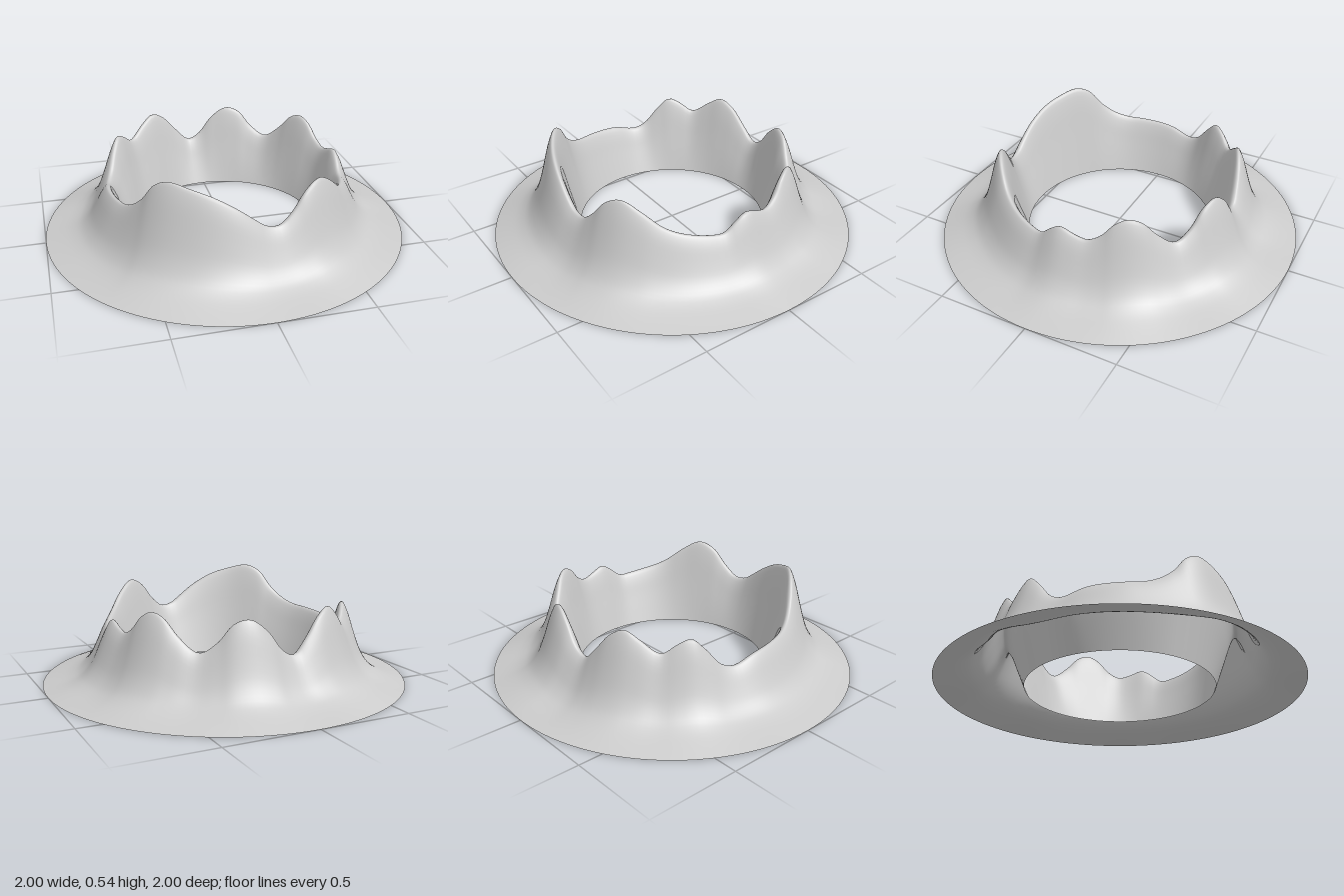
import * as THREE from 'three';

const CREST_RADIUS = 0.645;
const SEGMENTS = 180;

// Crest line: [angle in degrees from the front towards +x, height]
const CREST = [
  [0, 0.345], [5, 0.307], [11, 0.3], [18, 0.36], [25, 0.45], [33, 0.487], [43, 0.43], [51, 0.365], [58, 0.33],
  [72, 0.296], [79, 0.293], [85, 0.345], [90, 0.378], [97, 0.352], [103, 0.336], [109, 0.37], [115, 0.44],
  [121, 0.47], [127, 0.445], [134, 0.36], [143, 0.288], [151, 0.34], [158, 0.43], [165, 0.452], [173, 0.39],
  [180, 0.29], [186, 0.258], [193, 0.33], [201, 0.43], [208, 0.468], [215, 0.425], [224, 0.362], [231, 0.41],
  [237, 0.437], [243, 0.38], [251, 0.28], [257, 0.258], [268, 0.29], [283, 0.305], [293, 0.315], [300, 0.345],
  [307, 0.405], [314, 0.5], [321, 0.535], [332, 0.512], [342, 0.475], [352, 0.412],
];

// Cross-section from outer edge over the crest to inner edge: [radius, share of crest height]
const SECTION = [
  [1, 0], [0.91, 0.07], [0.85, 0.13], [0.8, 0.215], [0.755, 0.37], [0.72, 0.58], [0.685, 0.83],
  [0.66, 0.965], [0.645, 1], [0.628, 0.965], [0.605, 0.8], [0.58, 0.56], [0.55, 0.28], [0.52, 0],
];

// Smooth closed crest sampled as angle and height
function sampleCrest() {
  const points = CREST.map(([deg, h]) => {
    const a = THREE.MathUtils.degToRad(deg);
    return new THREE.Vector3(Math.sin(a) * CREST_RADIUS, h, Math.cos(a) * CREST_RADIUS);
  });
  return new THREE.CatmullRomCurve3(points, true)
    .getSpacedPoints(SEGMENTS)
    .slice(0, SEGMENTS)
    .map((p) => ({ angle: Math.atan2(p.x, p.z), height: p.y }));
}

function ringGeometry() {
  const profile = new THREE.SplineCurve(SECTION.map(([r, s]) => new THREE.Vector2(r, s))).getPoints(39);
  const rows = profile.length;
  const positions = [];
  const indices = [];
  sampleCrest().forEach(({ angle, height }, i) => {
    const next = (i + 1) % SEGMENTS;
    profile.forEach((p, j) => {
      positions.push(Math.sin(angle) * p.x, Math.max(0, p.y * height), Math.cos(angle) * p.x);
      if (j < rows - 1) {
        const a = i * rows + j;
        const b = next * rows + j;
        indices.push(a, b, a + 1, b, b + 1, a + 1);
      }
    });
  });
  const geometry = new THREE.BufferGeometry();
  geometry.setAttribute('position', new THREE.Float32BufferAttribute(positions, 3));
  geometry.setIndex(indices);
  geometry.computeVertexNormals();
  return geometry;
}

export function createModel() {
  const group = new THREE.Group();
  group.name = 'mountainRing';

  // Open-bottomed ring of hills with a jagged crest
  const material = new THREE.MeshStandardMaterial({ color: 0xcccccc, side: THREE.DoubleSide });
  const ridge = new THREE.Mesh(ringGeometry(), material);
  ridge.name = 'ridge';
  group.add(ridge);
  return group;
}
